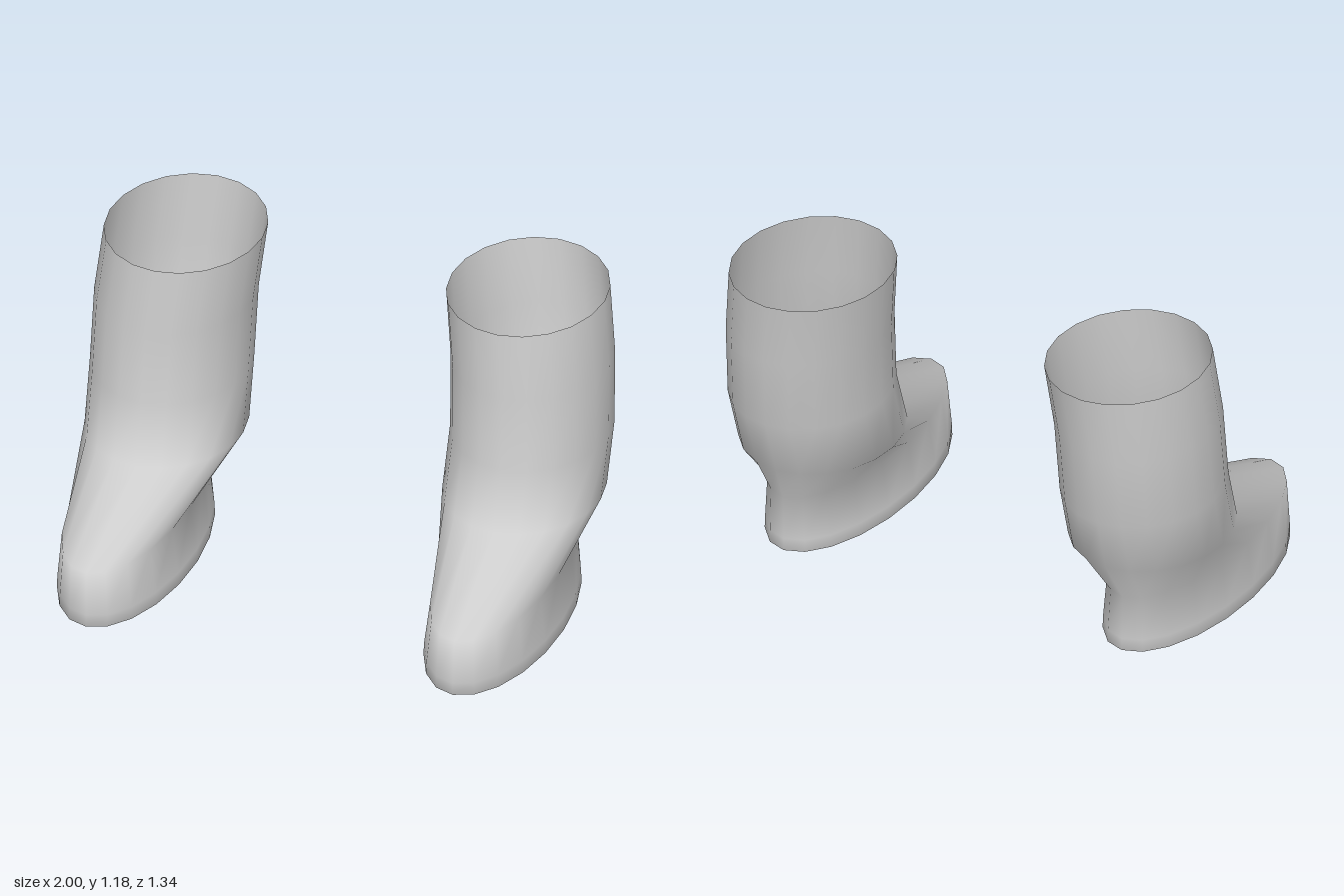
import * as THREE from 'three';

const SIDES = 20;

// Cross-sections from sole to top: height, inner x, outer x, back z, front z
const RINGS = [
  [0, 0.49, 0.94, -0.435, 0.652],
  [0, 0.475, 0.955, -0.45, 0.67],
  [0.05, 0.478, 0.952, -0.45, 0.67],
  [0.23, 0.505, 0.932, -0.45, 0.665],
  [0.4, 0.4, 0.995, -0.54, 0.165],
  [0.63, 0.405, 1.0, -0.61, 0.09],
  [0.92, 0.397, 0.993, -0.637, 0.062],
  [1.18, 0.37, 0.965, -0.665, 0.035],
];

// Open boot shell lofted through elliptical rings; side is +1 (left) or -1 (right)
function bootGeometry(side) {
  const positions = [];
  const index = [];
  RINGS.forEach(([y, x0, x1, z0, z1], r) => {
    for (let i = 0; i < SIDES; i++) {
      const t = (i / SIDES) * Math.PI * 2;
      positions.push(
        side * (x0 + x1) / 2 + Math.cos(t) * (x1 - x0) / 2,
        y,
        (z0 + z1) / 2 + Math.sin(t) * (z1 - z0) / 2
      );
      if (r === RINGS.length - 1) continue;
      const a = r * SIDES + i;
      const b = r * SIDES + (i + 1) % SIDES;
      index.push(a, a + SIDES, b, b, a + SIDES, b + SIDES);
    }
  });
  const geometry = new THREE.BufferGeometry();
  geometry.setAttribute('position', new THREE.Float32BufferAttribute(positions, 3));
  geometry.setIndex(index);
  geometry.computeVertexNormals();
  return geometry;
}

export function createModel() {
  const model = new THREE.Group();
  model.name = 'boots';
  const grey = new THREE.MeshStandardMaterial({ color: 0xcccccc, side: THREE.DoubleSide });
  grey.name = 'light grey';

  for (const [name, side] of [['leftBoot', 1], ['rightBoot', -1]]) {
    const boot = new THREE.Mesh(bootGeometry(side), grey);
    boot.name = name;
    model.add(boot);
  }
  return model;
}
